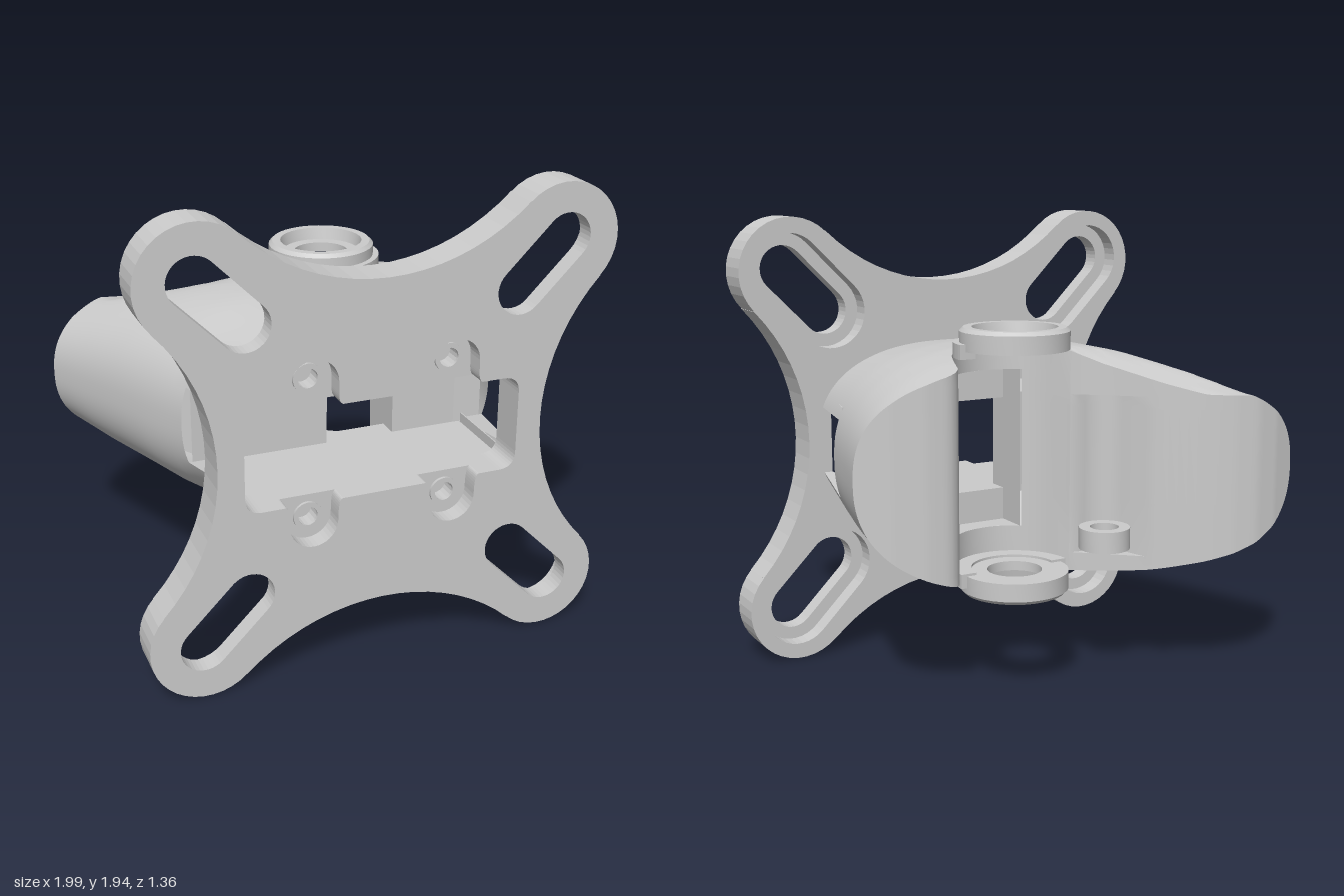
import * as THREE from 'three';
import { toCreasedNormals, mergeVertices } from 'three/addons/utils/BufferGeometryUtils.js';

const grey = new THREE.MeshStandardMaterial({ color: 0xcccccc, side: THREE.DoubleSide });

function add(parent, name, geometry, x = 0, y = 0, z = 0) {
  const mesh = new THREE.Mesh(geometry, grey);
  mesh.name = name;
  mesh.position.set(x, y, z);
  parent.add(mesh);
  return mesh;
}

// Linear lookup in a table of [key, value...] rows with rising keys
function lookup(table, key, column = 1) {
  let i = 1;
  while (i < table.length - 1 && key > table[i][0]) i++;
  const a = table[i - 1], b = table[i];
  const t = THREE.MathUtils.clamp((key - a[0]) / (b[0] - a[0]), 0, 1);
  return a[column] + (b[column] - a[column]) * t;
}

// ---------- mounting plate ----------
const CX = 0.02, CY = 0.98;

// Four rounded arms joined by tangent concave arcs
function plateOutline() {
  const shape = new THREE.Shape();
  const arm = 0.74, r = 0.232, R = 0.846, c = 1.526;
  const lean = Math.atan2(c - arm, arm);
  for (let q = 0; q < 4; q++) {
    const turn = q * Math.PI / 2, cos = Math.cos(turn), sin = Math.sin(turn);
    const at = (x, y) => [CX + x * cos - y * sin, CY + x * sin + y * cos];
    shape.absarc(...at(arm, arm), r, turn - Math.PI / 2 + lean, turn + Math.PI - lean, false);
    shape.absarc(...at(0, c), R, turn - lean, turn - Math.PI + lean, true);
  }
  return shape;
}

function slotHole(sx, sy, r) {
  const hole = new THREE.Path();
  const a = Math.atan2(sy, sx);
  hole.absarc(CX + sx * 0.75, CY + sy * 0.75, r, a - Math.PI / 2, a + Math.PI / 2, false);
  hole.absarc(CX + sx * 0.56, CY + sy * 0.56, r, a + Math.PI / 2, a + Math.PI * 1.5, false);
  return hole;
}

const screwX = [-0.275, 0.315];

// Rounded central window, optionally widened around the four screw seats
function windowHole(seats) {
  const p = new THREE.Path(), l = -0.555, r = 0.595, b = 0.78, t = 1.18, k = 0.07;
  p.moveTo(l + k, b);
  if (seats) for (const x of screwX) {
    p.lineTo(x - 0.12, b);
    p.quadraticCurveTo(x - 0.1, b, x - 0.1, b - 0.05);
    p.absarc(x, 0.69, 0.1, Math.PI, Math.PI * 2, false);
    p.quadraticCurveTo(x + 0.1, b, x + 0.12, b);
  }
  p.lineTo(r - k, b);
  p.quadraticCurveTo(r, b, r, b + k);
  p.lineTo(r, t - k);
  p.quadraticCurveTo(r, t, r - k, t);
  if (seats) for (const x of [...screwX].reverse()) {
    p.lineTo(x + 0.12, t);
    p.quadraticCurveTo(x + 0.1, t, x + 0.1, t + 0.05);
    p.absarc(x, 1.275, 0.1, 0, Math.PI, false);
    p.quadraticCurveTo(x - 0.1, t, x - 0.12, t);
  }
  p.lineTo(l + k, t);
  p.quadraticCurveTo(l, t, l, t - k);
  p.lineTo(l, b + k);
  p.quadraticCurveTo(l, b, l + k, b);
  return p;
}

function plateLayer(front) {
  const shape = plateOutline();
  for (const sx of [-1, 1]) for (const sy of [-1, 1]) shape.holes.push(slotHole(sx, sy, front ? 0.1 : 0.155));
  shape.holes.push(windowHole(front));
  if (!front) for (const x of screwX) for (const y of [0.69, 1.275])
    shape.holes.push(new THREE.Path().absarc(x, y, 0.045, 0, Math.PI * 2, false));
  return new THREE.ExtrudeGeometry(shape, { depth: 0.08, bevelEnabled: false, curveSegments: 9 });
}

// ---------- body ----------
// z, centre x, half width, centre y, half height
const sections = [[-0.7, -0.045, 0.975, 0.915, 0.425], [-0.45, -0.02, 0.9, 0.93, 0.465],
  [-0.19, -0.005, 0.815, 0.95, 0.482], [0, 0.01, 0.755, 0.955, 0.485], [0.2, 0.03, 0.69, 0.965, 0.463], [0.52, 0.025, 0.63, 0.985, 0.405]];
// height limit of the long lobe: z, y
const lobeTop = [[-0.7, 1.235], [-0.6, 1.245], [-0.33, 1.36], [-0.15, 1.46]];
// rear edge seen in plan: x, z
const rear = [[-1.1, -0.63], [-1, -0.655], [-0.9, -0.68], [-0.8, -0.685], [-0.7, -0.66], [-0.6, -0.61], [-0.45, -0.5],
  [-0.3, -0.36], [-0.13, -0.21], [0.1, -0.2], [0.365, -0.22], [0.385, -0.28], [0.42, -0.32], [0.46, -0.333], [0.55, -0.32], [0.68, -0.27], [0.82, -0.19]];
const HX = 0.115, HZ = -0.25;
const scoop = (x, cx, cz, r) => Math.abs(x - cx) < r ? cz + Math.sqrt(r * r - (x - cx) ** 2) : -9;
const rearZ = x => Math.max(lookup(rear, x), scoop(x, HX, HZ, 0.255));

function skinPoint(angle, z) {
  const pow = v => Math.sign(v) * Math.abs(v) ** 0.83;
  const [cx, a, cy, h] = [1, 2, 3, 4].map(c => lookup(sections, z, c));
  const x = cx + a * pow(Math.cos(angle)), y = cy + h * pow(Math.sin(angle));
  return [x, x < 0 ? Math.min(y, lookup(lobeTop, z)) : y, z];
}

function bodyShell() {
  const half = 96, slotRows = 4, rows = 16, slotEdge = 9;
  const pos = [];
  const quad = (a, b, c, d) => pos.push(...a, ...b, ...c, ...a, ...c, ...d);
  const columns = [];
  for (let i = 0; i <= half * 2; i++) {
    const angle = i / half * Math.PI;
    const inside = z => z > rearZ(skinPoint(angle, z)[0]);
    let hi = 0.2, lo = 0.2;
    while (lo > -0.72 && inside(lo)) { hi = lo; lo -= 0.02; }
    for (let n = 0; n < 20; n++) {
      const mid = (hi + lo) / 2;
      if (inside(mid)) hi = mid; else lo = mid;
    }
    const column = [];
    for (let j = 0; j <= rows; j++) {
      const z = j <= slotRows ? 0.52 - 0.32 * j / slotRows : 0.2 + (hi - 0.2) * (j - slotRows) / (rows - slotRows);
      column.push(skinPoint(angle, z));
    }
    columns.push(column);
  }
  // outer skin, open at the two side slots
  for (let i = 0; i < half * 2; i++) for (let j = 0; j < rows; j++) {
    const m = i % half, k = Math.min(m, half - 1 - m);
    if (k < slotEdge && j < slotRows) continue;
    quad(columns[i][j], columns[i][j + 1], columns[i + 1][j + 1], columns[i + 1][j]);
  }
  // slot edges, from the skin in to the cavity
  for (const i of [slotEdge, half - slotEdge, half + slotEdge, 2 * half - slotEdge]) for (let j = 0; j < slotRows; j++) {
    const a = columns[i][j], b = columns[i][j + 1], x = a[0] > 0 ? 0.592 : -0.552;
    quad(a, b, [x, b[1], b[2]], [x, a[1], a[2]]);
  }
  // rear face with the tall opening and the small pin groove
  const capColumn = i => {
    const top = columns[i][rows], bottom = columns[half * 2 - i][rows], [x, , z] = top;
    const deep = Math.max(z, scoop(x, -0.23, -0.4, 0.155));
    const opening = x > -0.08 ? [1.32, 0.64] : [1.18, 0.78];
    return [[top[1], z], [Math.max(1.23, opening[0]), z], [Math.max(1.23, opening[0]), deep], [opening[0], deep],
      [opening[1], deep], [0.55, deep], [0.55, z], [bottom[1], z]]
      .map(([y, d]) => [x, THREE.MathUtils.clamp(y, bottom[1], top[1]), d]);
  };
  for (let i = 0; i < half; i++) {
    const a = capColumn(i), b = capColumn(i + 1), mid = (a[0][0] + b[0][0]) / 2;
    for (let r = 0; r < 7; r++) {
      if (r === 3 && mid > -0.03 && mid < 0.27) continue;
      quad(a[r], a[r + 1], b[r + 1], b[r]);
    }
  }
  const geometry = new THREE.BufferGeometry();
  geometry.setAttribute('position', new THREE.Float32BufferAttribute(pos, 3));
  return toCreasedNormals(mergeVertices(geometry, 1e-4), 0.6);
}

// Wall standing on a plan line of [x, z] points
function wall(points, y0, y1) {
  const pos = [];
  for (let i = 0; i < points.length - 1; i++) {
    const [[ax, az], [bx, bz]] = [points[i], points[i + 1]];
    pos.push(ax, y0, az, bx, y0, bz, bx, y1, bz, ax, y0, az, bx, y1, bz, ax, y1, az);
  }
  const geometry = new THREE.BufferGeometry();
  geometry.setAttribute('position', new THREE.Float32BufferAttribute(pos, 3));
  geometry.computeVertexNormals();
  return geometry;
}

// Level surface bounded by [x, z] points
function level(points) {
  const shape = new THREE.Shape(points.map(([x, z]) => new THREE.Vector2(x, z)));
  return new THREE.ShapeGeometry(shape).rotateX(Math.PI / 2);
}

// Closed ring turned from a profile of [radius, height]
function ring(profile, segments = 40) {
  const points = [...profile, profile[0]].map(([r, y]) => new THREE.Vector2(r, y));
  return toCreasedNormals(new THREE.LatheGeometry(points, segments), 0.5);
}

export function createModel() {
  const model = new THREE.Group();

  const plate = new THREE.Group();
  plate.name = 'mountingPlate';
  model.add(plate);
  add(plate, 'plateFront', plateLayer(true), 0, 0, 0.6);
  add(plate, 'plateBack', plateLayer(false), 0, 0, 0.52);
  for (const x of screwX) for (const y of [0.69, 1.275]) {
    const rim = ring([[0.04, 0], [0.06, 0], [0.06, 0.012], [0.04, 0.012]], 24);
    add(plate, 'screwRim', rim, x, y, 0.6).rotation.x = Math.PI / 2;
    add(plate, 'screwHoleFloor', new THREE.CircleGeometry(0.05, 24), x, y, 0.53);
  }

  const body = new THREE.Group();
  body.name = 'saddleBody';
  model.add(body);
  add(body, 'bodyShell', bodyShell());
  // cavity behind the window, its side slots and the taller rear opening
  const F = 0.19, L = 0.1;
  add(body, 'cavityFloorLeft', wall([[-0.62, 0.2], [-0.5, F], [-0.03, F], [-0.03, L]], 0.78, 1.18));
  add(body, 'cavityFloorRight', wall([[0.27, L], [0.27, F], [0.56, F], [0.68, 0.2]], 0.78, 1.18));
  const cavity = level([[-0.555, 0.52], [-0.62, 0.2], [-0.5, F], [-0.03, F], [-0.03, L], [0.27, L], [0.27, F], [0.56, F], [0.68, 0.2], [0.59, 0.52]]);
  for (const y of [0.78, 1.18]) add(body, 'cavityWall', cavity, 0, y, 0);
  const opening = level([[-0.03, L], [-0.03, -0.04], [0.04, 0], [0.115, 0.005], [0.2, -0.005], [0.27, -0.045], [0.27, L]]);
  for (const [inner, outer] of [[0.78, 0.64], [1.18, 1.32]]) {
    add(body, 'openingLintel', wall([[-0.03, L], [0.27, L]], inner, outer));
    add(body, 'openingEnd', opening, 0, outer, 0);
  }
  for (const x of [-0.03, 0.27]) add(body, 'openingSide', wall([[x, L], [x, -0.045]], 0.64, 1.32));
  for (const x of [-0.552, 0.592]) for (const y of [0.8, 1.155])
    add(body, 'slotJamb', new THREE.BoxGeometry(0.005, 0.045, 0.32), x, y, 0.36);

  // Hinge eyes, counterbored on their outer faces, with collars down to the body
  const eye = ring([[0.115, 0], [0.225, 0], [0.225, 0.075], [0.21, 0.09], [0.175, 0.09], [0.165, 0.04], [0.115, 0.04]]);
  const collar = new THREE.Shape();
  collar.absarc(0, 0, 0.25, 0, Math.PI, false);
  collar.absarc(0, 0, 0.18, Math.PI, 0, true);
  const collarGeometry = new THREE.ExtrudeGeometry(collar, { depth: 0.06, bevelEnabled: false, curveSegments: 24 });
  collarGeometry.rotateX(Math.PI / 2);
  add(model, 'upperHingeEye', eye, HX, 1.44, HZ);
  add(model, 'upperHingeCollar', collarGeometry, HX, 1.47, HZ);
  add(model, 'lowerHingeEye', eye, HX, 0.52, HZ).rotation.x = Math.PI;
  add(model, 'lowerHingeCollar', collarGeometry, HX, 0.53, HZ);

  // Small pin eye in the groove
  add(model, 'pinEye', ring([[0.06, 0], [0.107, 0], [0.107, 0.09], [0.06, 0.09]], 32), -0.23, 0.6, -0.4);
  return model;
}
